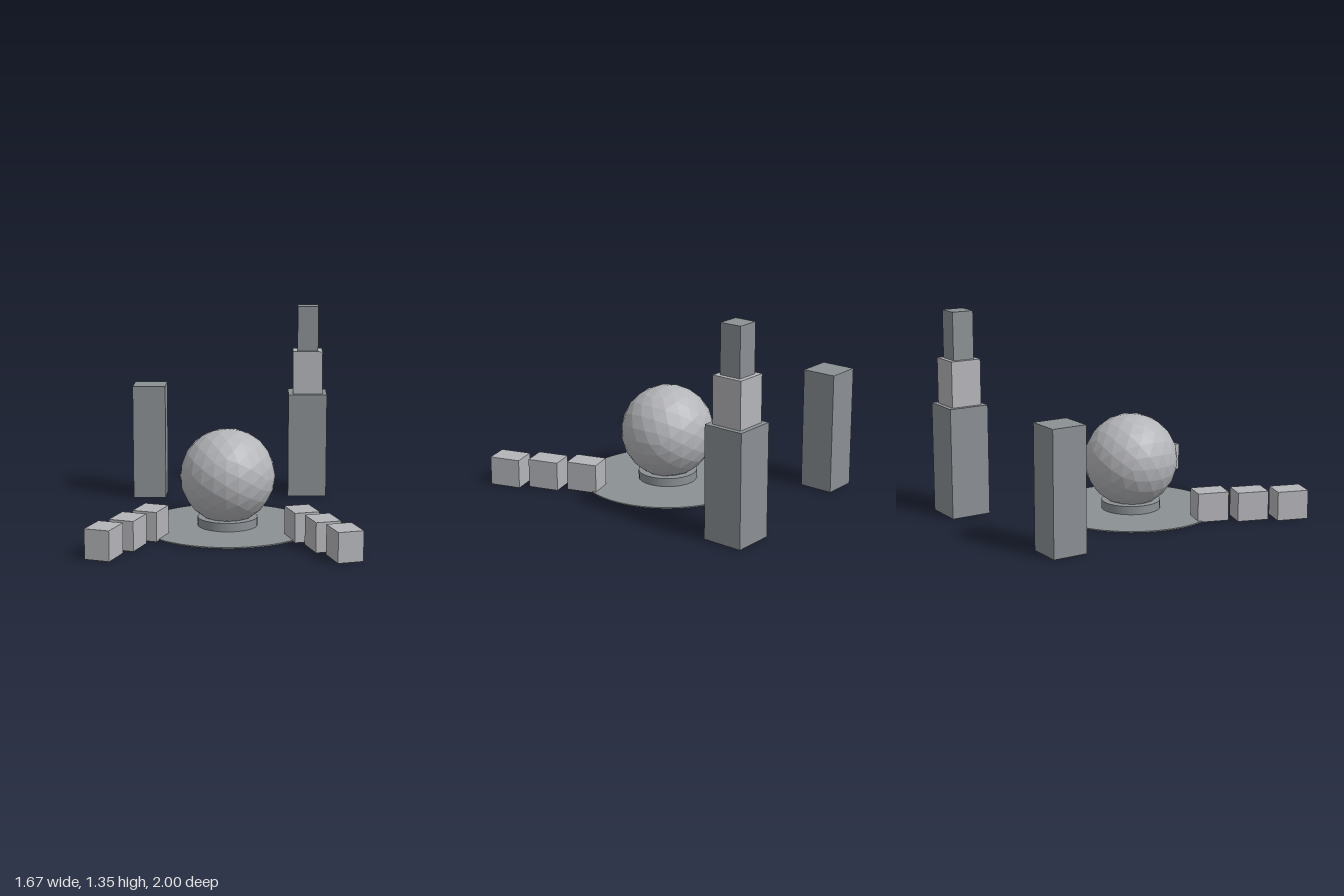
import * as THREE from 'three';

export function createModel() {
  const model = new THREE.Group();
  const mat = (name, color) => {
    const m = new THREE.MeshStandardMaterial({ color });
    m.name = name;
    return m;
  };
  const dark = mat('dark grey', 0x8b9094);
  const light = mat('light grey', 0xb4b5b9);

  const add = (name, geometry, material, x, y, z) => {
    const mesh = new THREE.Mesh(geometry, material);
    mesh.name = name;
    mesh.position.set(x, y, z);
    model.add(mesh);
    return mesh;
  };

  // Round plaza with a pedestal and a faceted sphere
  const cz = 0.12;
  add('plazaDisc', new THREE.CylinderGeometry(0.57, 0.57, 0.008, 64), dark, 0, 0.004, cz);
  add('pedestal', new THREE.CylinderGeometry(0.196, 0.196, 0.057, 32), dark, 0, 0.0355, cz);
  const ball = new THREE.IcosahedronGeometry(0.31, 3); // non-indexed, so flat facets
  ball.computeVertexNormals();
  add('sphere', ball, light, 0, 0.336, cz);

  // Plain tower
  add('plainTower', new THREE.BoxGeometry(0.228, 0.796, 0.23), dark, -0.573, 0.398, -0.768);

  // Stepped tower: [width, bottom, top, material]
  const tiers = [
    [0.27, 0, 0.73, dark],
    [0.207, 0.73, 1.032, light],
    [0.145, 1.032, 1.347, dark],
  ];
  tiers.forEach(([w, y0, y1, m], i) =>
    add(`steppedTowerTier${i + 1}`, new THREE.BoxGeometry(w, y1 - y0, w), m, 0.54, (y0 + y1) / 2, -0.865));

  // Two mirrored rows of low blocks, splayed outwards to the front
  const block = new THREE.BoxGeometry(0.162, 0.19, 0.207);
  for (const side of [1, -1]) {
    for (let i = 0; i < 3; i++) {
      const b = add(`${side > 0 ? 'left' : 'right'}Block${i + 1}`, block, light,
        side * (0.479 + 0.124 * i), 0.095, 0.418 + 0.229 * i);
      b.rotation.y = side * 0.314;
    }
  }
  return model;
}
